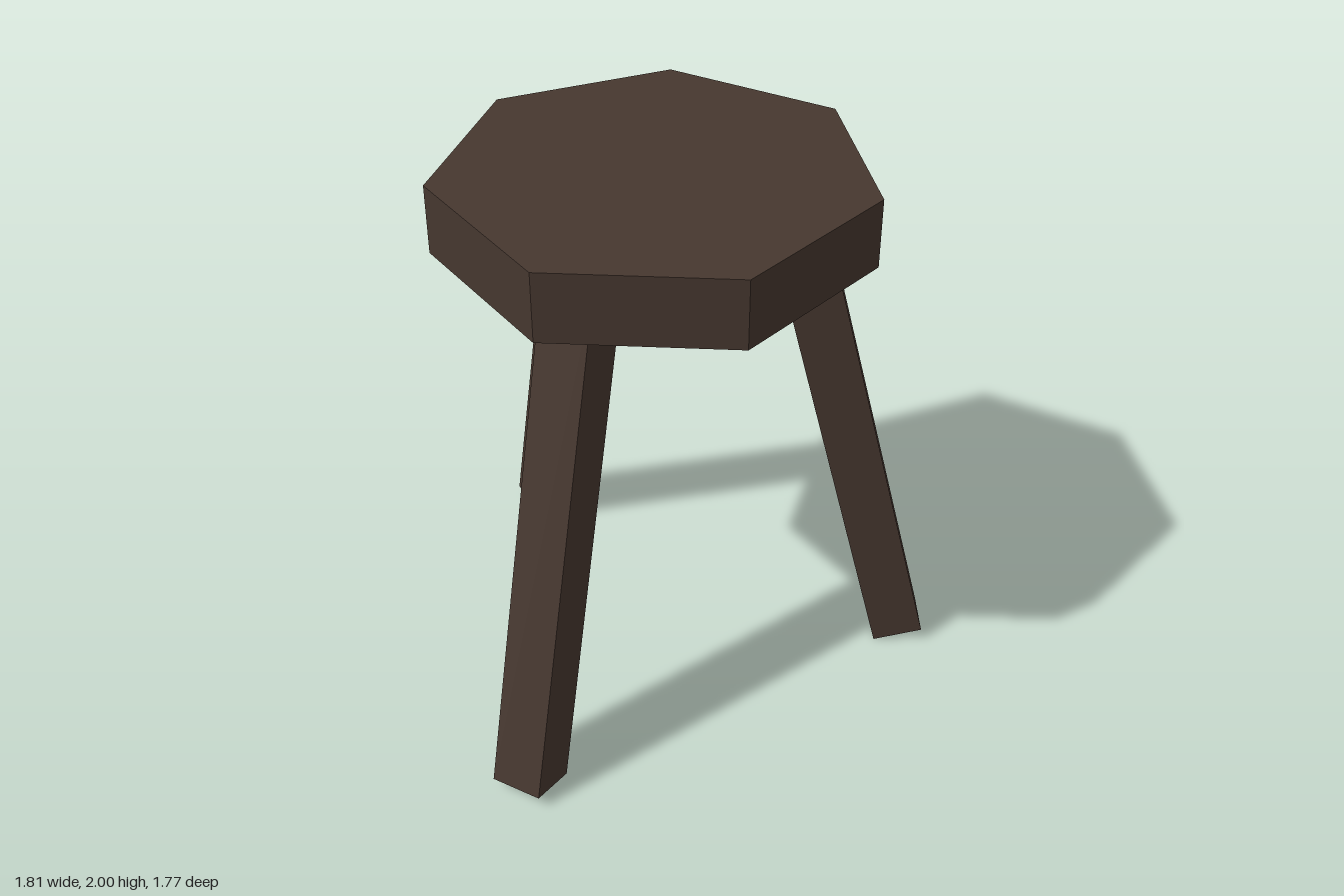
import * as THREE from 'three';

export function createModel() {
  const stool = new THREE.Group();
  stool.name = 'stool';
  const wood = new THREE.MeshStandardMaterial({ color: 0x46372f });
  wood.name = 'dark wood';
  wood.flatShading = true;

  // Everything is arranged around the seat's axis
  const body = new THREE.Group();
  body.name = 'body';
  body.position.set(-0.094, 0, -0.13);
  stool.add(body);

  // Seven-sided seat with one corner pointing to +x
  const seatHeight = 0.246;
  const seat = new THREE.Mesh(
    new THREE.CylinderGeometry(0.747, 0.747, seatHeight, 7, 1, false, Math.PI / 2), wood);
  seat.name = 'seat';
  seat.position.y = 2 - seatHeight / 2;
  body.add(seat);

  // Three square legs, splayed outward and sunk into the seat
  const splay = THREE.MathUtils.degToRad(14.35);
  const thickness = 0.187;
  const length = 1.9;
  const legGeometry = new THREE.BoxGeometry(thickness, length, thickness);
  const footRadius = 0.924;
  const footHeight = Math.sin(splay) * thickness / 2;
  ['leftLeg', 'frontLeg', 'backRightLeg'].forEach((name, i) => {
    const pivot = new THREE.Group();
    pivot.name = name;
    pivot.rotation.y = -THREE.MathUtils.degToRad(-17.4 + i * 120);
    const leg = new THREE.Mesh(legGeometry, wood);
    leg.name = name + 'Beam';
    leg.rotation.z = splay;
    leg.position.set(
      footRadius - Math.sin(splay) * length / 2,
      footHeight + Math.cos(splay) * length / 2, 0);
    pivot.add(leg);
    body.add(pivot);
  });

  return stool;
}
